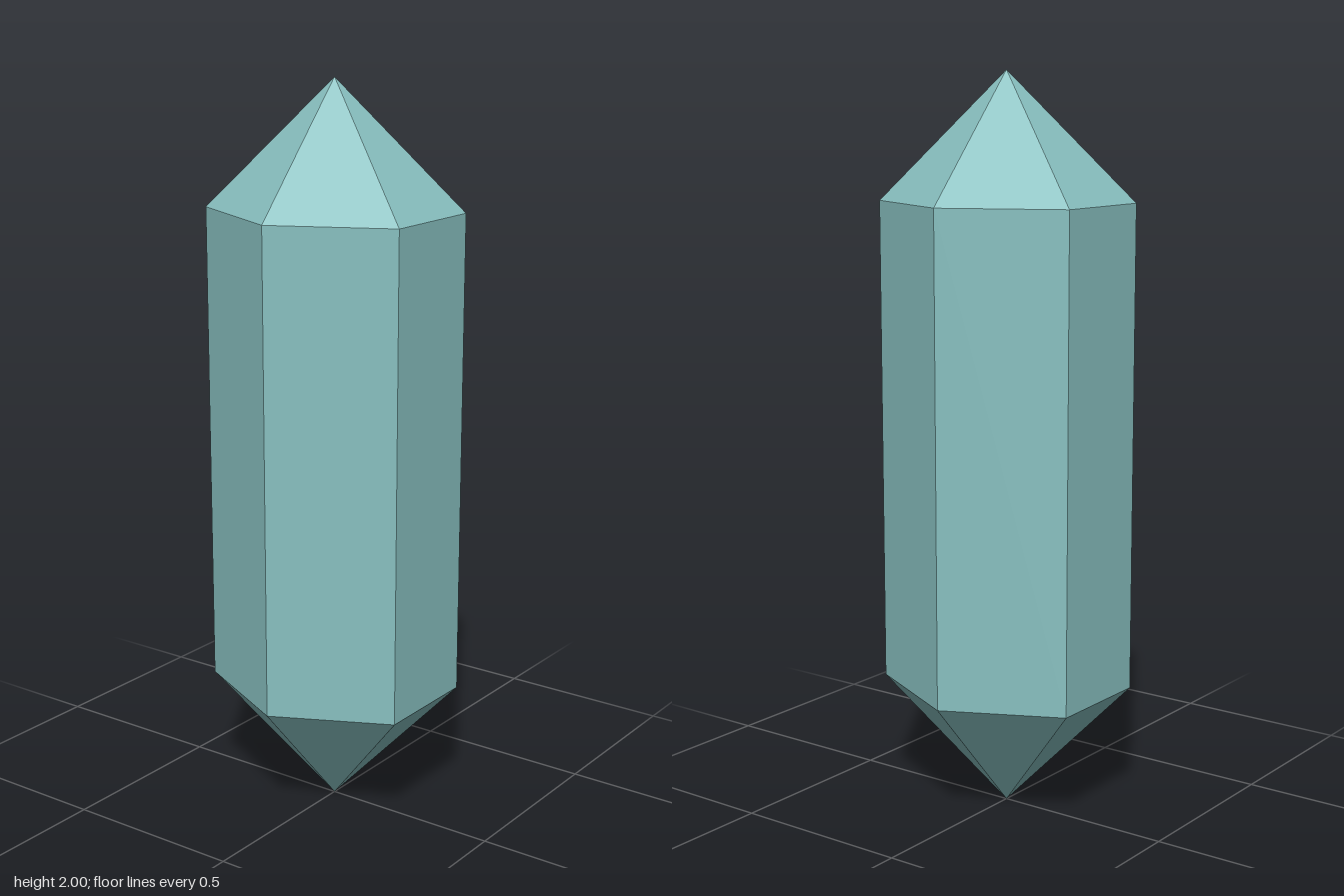
import * as THREE from 'three';

export function createModel() {
  const group = new THREE.Group();
  const radius = 0.306;
  const material = new THREE.MeshStandardMaterial({ color: 0x88c0c0, flatShading: true });

  // Hexagonal prism with a point at each end, one ridge facing each side
  const profile = [[0, 0], [radius, 0.345], [radius, 1.66], [0, 2]]
    .map(([r, y]) => new THREE.Vector2(r, y));
  const geometry = new THREE.LatheGeometry(profile, 6, Math.PI / 6);

  // Deepen the hexagon so it is as deep as it is wide
  geometry.scale(1, 1, 1 / Math.cos(Math.PI / 6));

  const crystal = new THREE.Mesh(geometry, material);
  crystal.name = 'crystal';
  group.add(crystal);
  return group;
}
